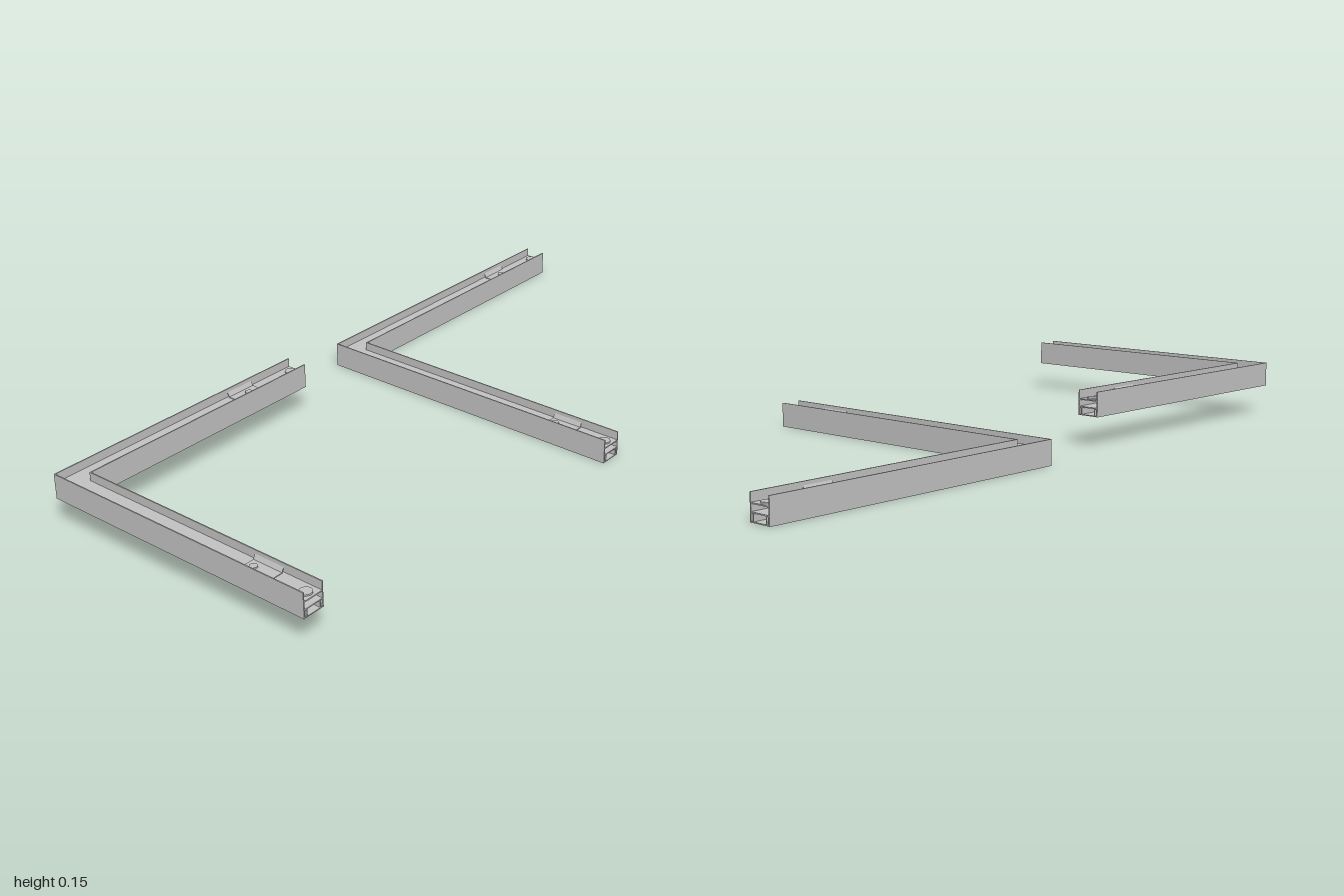
import * as THREE from 'three';

const W = 0.062; // rail width
const H = 0.067; // rail height
const T = 0.003; // sheet thickness

export function createModel() {
  const metal = new THREE.MeshStandardMaterial({ color: 0xc0c0c0 });
  metal.name = 'brushed grey';
  const model = new THREE.Group();
  model.name = 'cornerRails';

  function add(parent, name, geometry, x = 0, y = 0, z = 0) {
    const mesh = new THREE.Mesh(geometry, metal);
    mesh.name = name;
    mesh.position.set(x, y, z);
    parent.add(mesh);
    return mesh;
  }

  // L-shaped band between two distances from the outer edge, mitred at the corner
  function band(parent, name, length, a, b, y0, y1) {
    const s = new THREE.Shape();
    s.moveTo(a, -a);
    s.lineTo(length, -a);
    s.lineTo(length, -b);
    s.lineTo(b, -b);
    s.lineTo(b, -length);
    s.lineTo(a, -length);
    s.closePath();
    const g = new THREE.ExtrudeGeometry(s, { depth: y1 - y0, bevelEnabled: false });
    g.rotateX(-Math.PI / 2);
    add(parent, name, g, 0, y0, 0);
  }

  // Spring clip with flared sides, running along local x
  function clipGeometry(length) {
    const s = new THREE.Shape();
    const p = [[-0.027, 0.014], [-0.021, 0.002], [0.021, 0.002], [0.027, 0.014],
      [0.027, 0.011], [0.022, 0], [-0.022, 0], [-0.027, 0.011]];
    p.forEach(([x, y], i) => (i ? s.lineTo(x, y) : s.moveTo(x, y)));
    s.closePath();
    const g = new THREE.ExtrudeGeometry(s, { depth: length, bevelEnabled: false });
    g.translate(0, 0, -length / 2);
    g.rotateY(Math.PI / 2);
    return g;
  }

  // Clip and screws fitted on the shelf of one arm, along local x
  function fittings(parent, length, clipCentre, screwAt) {
    const arm = new THREE.Group();
    arm.name = 'armFittings';
    add(arm, 'springClip', clipGeometry(0.087), clipCentre, 0.044, W / 2);
    add(arm, 'clipScrew', new THREE.CylinderGeometry(0.01, 0.01, 0.003, 24), screwAt, 0.0475, W / 2);
    add(arm, 'endScrew', new THREE.CylinderGeometry(0.016, 0.016, 0.004, 24), length - 0.022, 0.046, W / 2);
    parent.add(arm);
    return arm;
  }

  function cornerRail(name, x, y, z, length) {
    const rail = new THREE.Group();
    rail.name = name;
    rail.position.set(x, y, z);
    band(rail, 'outerWall', length, 0, T, 0, H);
    band(rail, 'innerWall', length, W - T, W, 0, H);
    band(rail, 'shelf', length, T, W - T, 0.041, 0.044);
    band(rail, 'lowerWeb', length, T, W - T, 0.021, 0.024);
    band(rail, 'bottomCover', length, T, W - T, 0.0005, 0.003);
    for (const a of [0.009, W - 0.011]) band(rail, 'coverRib', length, a, a + 0.002, 0.003, 0.021);

    const clip = length - 0.15, screw = length - 0.182;
    fittings(rail, length, clip - 0.04, screw);
    // Second arm runs along +z
    const side = fittings(rail, length, clip - 0.005, screw + 0.005);
    side.rotation.y = -Math.PI / 2;
    side.position.x = W;
    model.add(rail);
  }

  cornerRail('upperCornerRail', -1, 0.08, -0.388, 0.806);
  cornerRail('lowerCornerRail', 0.08, 0, -0.46, 0.92);
  return model;
}
